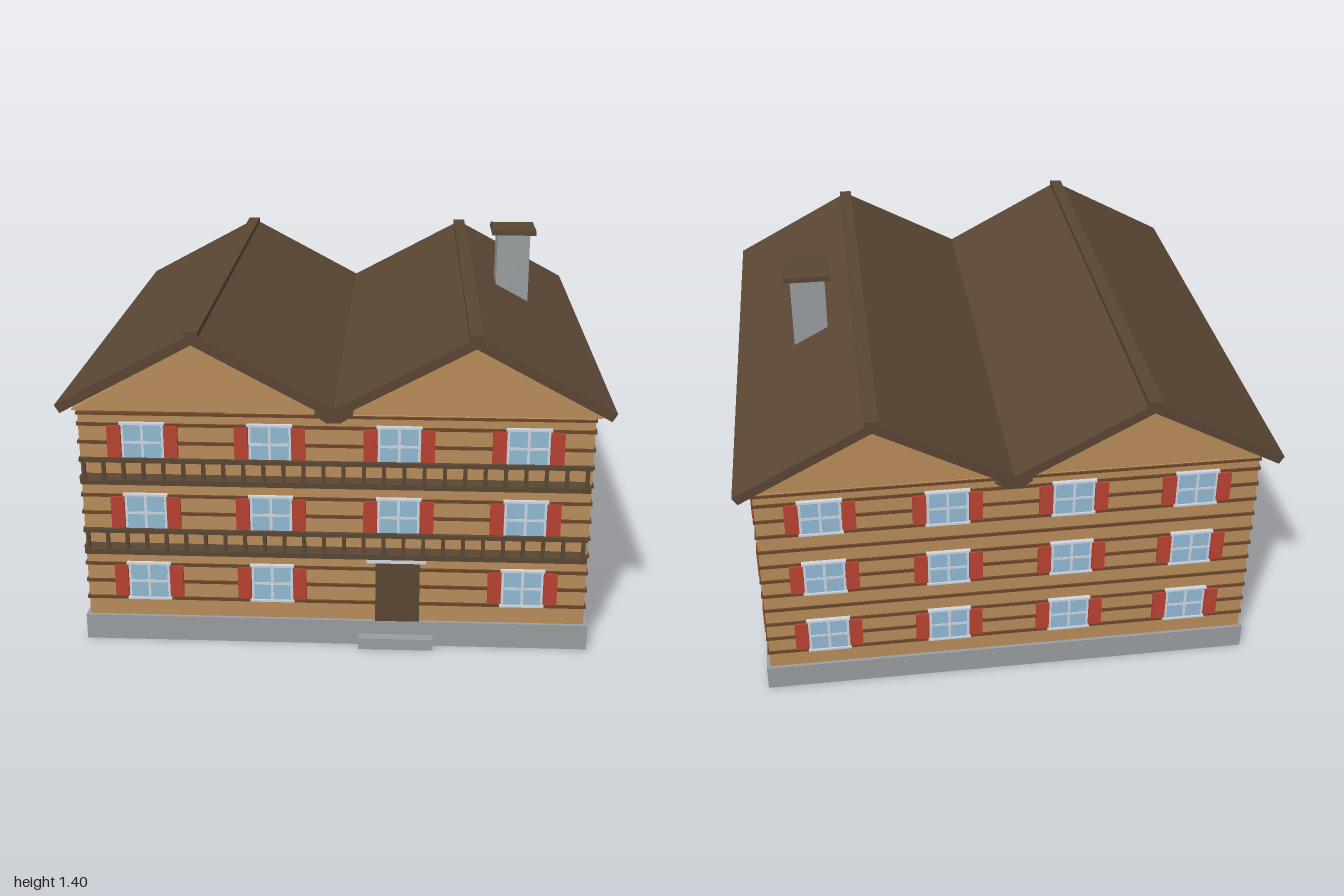
import * as THREE from 'three';

const mat = (name, color) => {
  const m = new THREE.MeshStandardMaterial({ color });
  m.name = name;
  return m;
};

export function createModel() {
  const timber = mat('timber', 0xb98c5a);
  const groove = mat('dark plank strip', 0x6a4729);
  const roofBrown = mat('roof brown', 0x5a4633);
  const stone = mat('grey stone', 0x9a9ea0);
  const trim = mat('pale trim', 0xced6e0);
  const glass = mat('window glass', 0x92bad4);
  const red = mat('shutter red', 0xb84232);

  const house = new THREE.Group();
  house.name = 'chalet';

  // Box given by its centre and size
  function box(parent, name, material, x, y, z, w, h, d) {
    const m = new THREE.Mesh(new THREE.BoxGeometry(w, h, d), material);
    m.position.set(x, y, z);
    m.name = name;
    parent.add(m);
    return m;
  }

  // Outline in x,y extruded from z0 to z1
  function prism(parent, name, material, points, z0, z1) {
    const shape = new THREE.Shape(points.map(([x, y]) => new THREE.Vector2(x, y)));
    const g = new THREE.ExtrudeGeometry(shape, { depth: z1 - z0, bevelEnabled: false });
    g.translate(0, 0, z0);
    const m = new THREE.Mesh(g, material);
    m.name = name;
    parent.add(m);
    return m;
  }

  // Base, step and walls
  box(house, 'foundation', stone, 0, 0.05, 0, 1.9, 0.1, 1.885);
  box(house, 'doorStep', stone, 0.23, 0.0225, 0.955, 0.28, 0.045, 0.05);
  box(house, 'walls', timber, 0, 0.51, 0, 1.87, 0.82, 1.86);

  // Dark strips between the planks, wrapping all four walls
  for (let i = 0; i < 11; i++) {
    box(house, 'plankStrip', groove, 0, 0.173 + i * 0.07, 0, 1.882, 0.012, 1.872);
  }
  box(house, 'topStrip', groove, 0, 0.915, 0, 1.882, 0.01, 1.872);

  // Window with cross bars and a pair of shutters, facing +z
  function makeWindow() {
    const w = new THREE.Group();
    w.name = 'window';
    box(w, 'windowFrame', trim, 0, 0, 0.003, 0.155, 0.15, 0.014);
    box(w, 'glassPane', glass, 0, 0, 0.009, 0.137, 0.132, 0.006);
    box(w, 'verticalBar', trim, 0, 0, 0.011, 0.01, 0.135, 0.006);
    box(w, 'crossBar', trim, 0, 0, 0.011, 0.14, 0.01, 0.006);
    for (const s of [-1, 1]) {
      box(w, 'sillAndHead', trim, 0, s * 0.072, 0.007, 0.166, 0.008, 0.018);
      box(w, 'shutter', red, s * 0.104, 0, 0.006, 0.05, 0.126, 0.018);
    }
    return w;
  }

  // Three floors of four windows on each side; the door takes one front place
  const columns = [-0.7, -0.235, 0.235, 0.7];
  for (let side = 0; side < 4; side++) {
    const wall = new THREE.Group();
    wall.name = ['frontWindows', 'leftWindows', 'backWindows', 'rightWindows'][side];
    wall.rotation.y = side * Math.PI / 2;
    for (let floor = 0; floor < 3; floor++) {
      columns.forEach((x, c) => {
        if (side === 0 && floor === 0 && c === 2) return;
        const w = makeWindow();
        w.position.set(x, 0.248 + floor * 0.28, side % 2 ? 0.935 : 0.93);
        wall.add(w);
      });
    }
    house.add(wall);
  }

  // Door and canopy
  box(house, 'door', roofBrown, 0.235, 0.22, 0.933, 0.165, 0.24, 0.016);
  box(house, 'doorCanopy', trim, 0.23, 0.357, 0.94, 0.22, 0.022, 0.025);

  // Balconies across the front
  for (const y of [0.38, 0.66]) {
    const b = new THREE.Group();
    b.name = 'balcony';
    box(b, 'balconyFloor', roofBrown, 0, y + 0.01, 0.96, 1.85, 0.02, 0.064);
    box(b, 'handRail', roofBrown, 0, y + 0.095, 0.985, 1.85, 0.016, 0.014);
    for (let i = 0; i < 26; i++) {
      box(b, 'baluster', roofBrown, -0.91 + i * 0.0728, y + 0.053, 0.985, 0.014, 0.075, 0.01);
    }
    house.add(b);
  }

  // Twin gables and roofs
  for (const s of [-1, 1]) {
    const gx = s * 0.5;
    prism(house, 'gable', timber,
      [[gx - 0.46, 0.924], [gx + 0.46, 0.924], [gx, 1.19]], -0.93, 0.93);
    for (const t of [-1, 1]) {
      const slope = [[gx, 1.235], [gx, 1.196], [gx + t * 0.482, 0.936], [gx + t * 0.5, 0.966]];
      prism(house, 'roofSlope', roofBrown, slope, -1, 0.97);
      prism(house, 'bargeBoard', roofBrown, slope, 0.97, 0.995);
    }
    box(house, 'ridgeCap', roofBrown, gx, 1.228, -0.0025, 0.05, 0.03, 1.995);
  }
  prism(house, 'valleyGutter', roofBrown,
    [[-0.07, 0.942], [-0.025, 0.912], [0.025, 0.912], [0.07, 0.942], [0, 0.962]], -0.995, 0.99);

  // Chimney
  box(house, 'chimney', stone, 0.693, 1.205, -0.1, 0.135, 0.35, 0.14);
  box(house, 'chimneyCap', roofBrown, 0.693, 1.39, -0.1, 0.18, 0.02, 0.18);

  return house;
}
